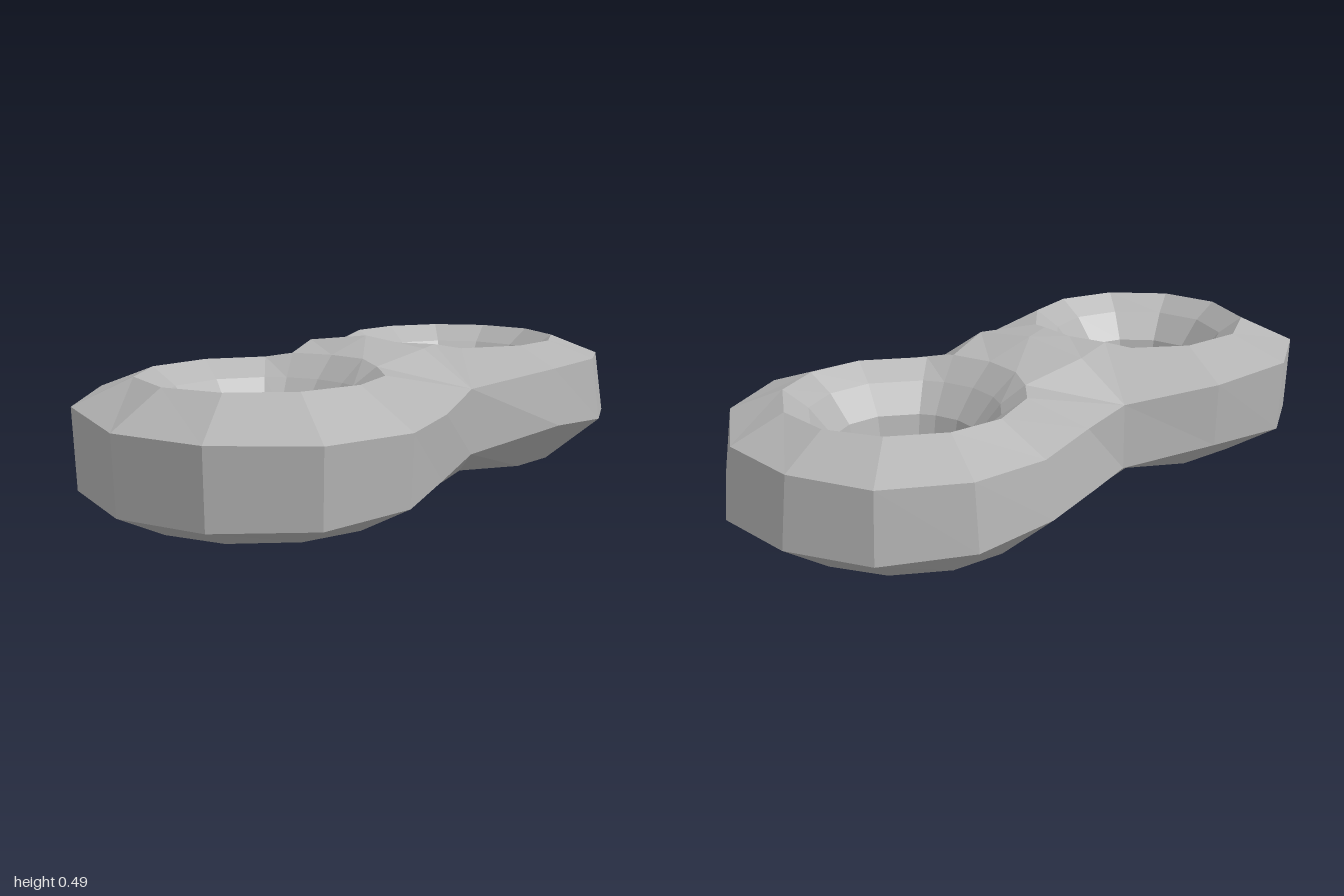
import * as THREE from 'three';

// Outline corners of each ring, clockwise from above: [x, z, wall top y, wall bottom y]
const FRONT = [
  [0.36, 0, 0.36, 0.17], [0.45, 0.3, 0.34, 0.16], [0.5, 0.55, 0.335, 0.14], [0.41, 0.81, 0.335, 0.125],
  [0.18, 0.98, 0.34, 0.125], [-0.09, 1, 0.345, 0.13], [-0.36, 0.86, 0.365, 0.14],
  [-0.5, 0.6, 0.375, 0.16], [-0.47, 0.3, 0.37, 0.18], [-0.36, 0, 0.36, 0.17],
];
const BACK = [
  [-0.36, 0, 0.36, 0.17], [-0.43, -0.2, 0.36, 0.19], [-0.5, -0.46, 0.36, 0.2], [-0.47, -0.7, 0.36, 0.18],
  [-0.32, -0.91, 0.36, 0.17], [-0.08, -1, 0.365, 0.17], [0.18, -0.98, 0.37, 0.17],
  [0.41, -0.81, 0.38, 0.19], [0.5, -0.58, 0.39, 0.2], [0.48, -0.33, 0.385, 0.215], [0.36, 0, 0.36, 0.17],
];
// Raised saddle between the rings, on z = 0: [x, z, top y, bottom y]
const SADDLE = [[-0.2, 0, 0.465, 0.03], [0, 0, 0.49, 0], [0.2, 0, 0.465, 0.03]];

// Section from the crest through the hole to the underside: [radius, y]
const SECTION = [
  [0.335, 0.44], [0.265, 0.39], [0.2, 0.31], [0.18, 0.22], [0.22, 0.13], [0.335, 0.06],
];

function ringGeometry(outline, saddle, centreZ, topScale, bottomScale) {
  const corners = [...outline, ...saddle];
  const last = outline.length - 1;
  const loops = corners.map(([x, z, top, bottom], i) => {
    const dx = x, dz = z - centreZ, dist = Math.hypot(dx, dz);
    const onWaist = z === 0;
    const at = (r, y) => [dx / dist * r, y, centreZ + dz / dist * r];
    const rim = (scale, y) => at(dist * (onWaist ? 1 : scale), y);
    const lift = i > last ? 0.012 : 0;
    const inner = SECTION.map(([r, y], k) =>
      at(r, y + (k === 0 ? lift : k === SECTION.length - 1 ? -lift : 0)));
    return [rim(topScale, top), ...inner, rim(bottomScale, bottom)];
  });

  const positions = [];
  const quad = (a, b, c, d) => positions.push(...a, ...b, ...c, ...a, ...c, ...d);
  loops.forEach((p, i) => {
    const q = loops[(i + 1) % loops.length];
    for (let j = 0; j < p.length - 1; j++) quad(p[j], p[j + 1], q[j + 1], q[j]);
    // Outer wall, left open where the two rings join
    if (i < last) quad(p[p.length - 1], p[0], q[0], q[q.length - 1]);
  });
  const geometry = new THREE.BufferGeometry();
  geometry.setAttribute('position', new THREE.Float32BufferAttribute(positions, 3));
  geometry.computeVertexNormals();
  return geometry;
}

export function createModel() {
  const group = new THREE.Group();
  group.name = 'doubleRing';
  const grey = new THREE.MeshStandardMaterial({ color: 0xb3b3b3, flatShading: true });
  grey.name = 'grey';

  const front = new THREE.Mesh(ringGeometry(FRONT, SADDLE, 0.515, 1, 0.98), grey);
  front.name = 'frontRing';
  const back = new THREE.Mesh(ringGeometry(BACK, [...SADDLE].reverse(), -0.505, 0.95, 1), grey);
  back.name = 'backRing';
  group.add(front, back);
  return group;
}
